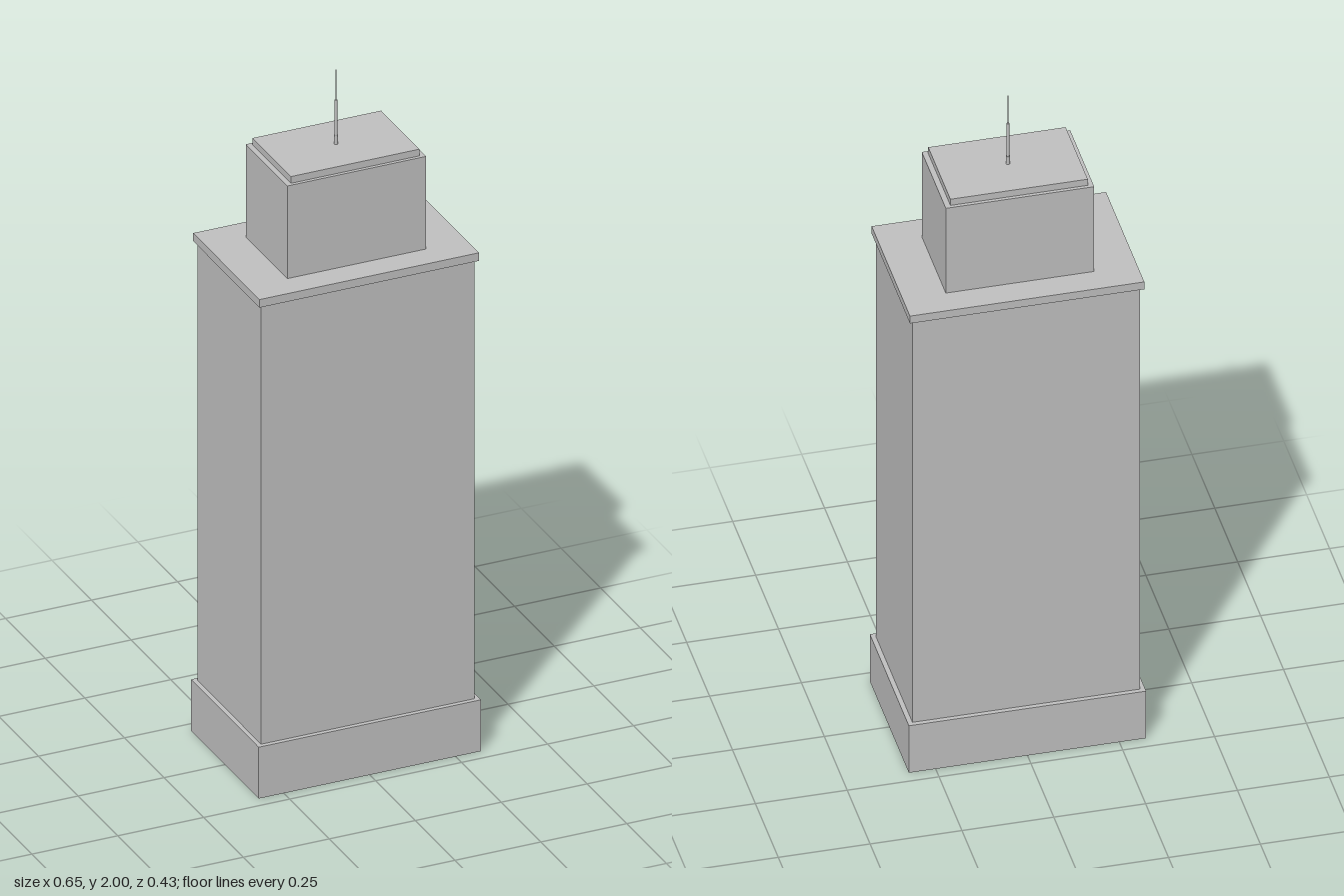
import * as THREE from 'three';

export function createModel() {
  const group = new THREE.Group();
  group.name = 'tower';
  const stone = new THREE.MeshStandardMaterial({ color: 0xc0c0c0 });
  stone.name = 'grey stone';

  // Stacked blocks: name, width, depth, bottom, top
  const blocks = [
    ['base', 0.646, 0.426, 0, 0.153],
    ['shaft', 0.62, 0.4, 0.153, 1.46],
    ['cornice', 0.638, 0.418, 1.46, 1.484],
    ['upperBlock', 0.404, 0.262, 1.484, 1.76],
    ['roofCap', 0.374, 0.242, 1.76, 1.78],
  ];
  for (const [name, w, d, y0, y1] of blocks) {
    const mesh = new THREE.Mesh(new THREE.BoxGeometry(w, y1 - y0, d), stone);
    mesh.name = name;
    mesh.position.y = (y0 + y1) / 2;
    group.add(mesh);
  }

  // Stepped mast: name, radius, bottom, top
  const mast = [
    ['mastFoot', 0.006, 1.78, 1.805],
    ['mastLower', 0.004, 1.805, 1.91],
    ['mastTip', 0.002, 1.91, 2],
  ];
  for (const [name, r, y0, y1] of mast) {
    const mesh = new THREE.Mesh(new THREE.CylinderGeometry(r, r, y1 - y0, 8), stone);
    mesh.name = name;
    mesh.position.y = (y0 + y1) / 2;
    group.add(mesh);
  }
  return group;
}
